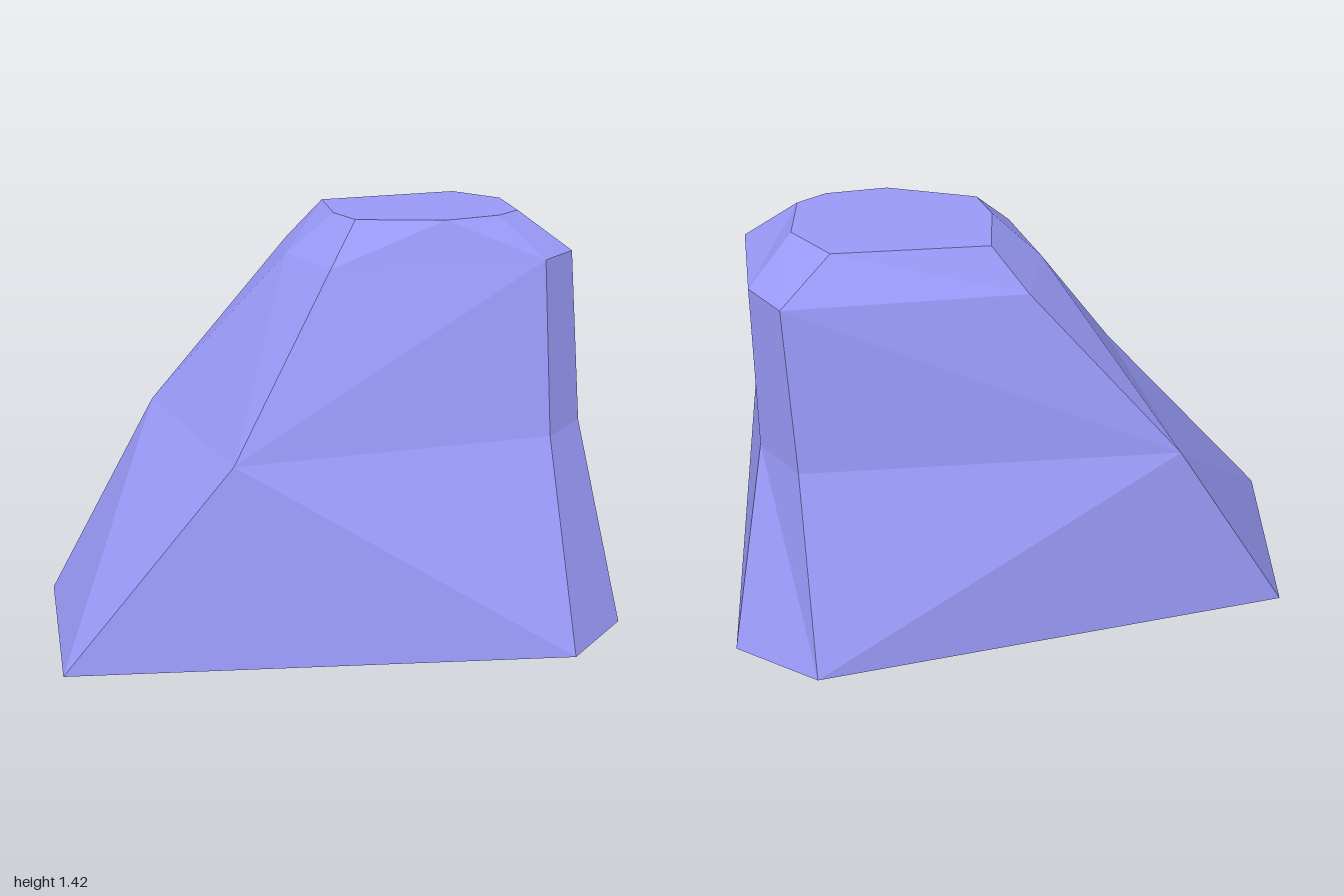
import * as THREE from 'three';

// Rings of [x, z] corners from the ground up, counter-clockwise from front left.
// A repeated corner merges two columns into one.
const rings = [
  { y: 0, pts: [[-1, 0.24], [0.68, 0.655], [0.68, 0.655], [0.945, 0.46], [1, -0.465], [0.73, -0.66], [-0.915, -0.46], [-0.915, -0.46]] },
  { y: 0.69, pts: [[-0.41, 0.28], [0.7, 0.34], [0.7, 0.34], [0.87, 0.215], [0.86, -0.25], [0.74, -0.435], [-0.51, -0.485], [-0.51, -0.485]] },
  { y: 1.28, pts: [[-0.02, 0.11], [0.715, 0.215], [0.715, 0.215], [0.86, 0.12], [0.85, -0.25], [0.755, -0.4], [-0.015, -0.4], [-0.09, -0.16]] },
  { y: 1.42, pts: [[0.1, 0.015], [0.385, 0.12], [0.585, 0.105], [0.68, 0.05], [0.705, -0.155], [0.59, -0.315], [0.095, -0.33], [0.065, -0.11]] },
];

// Facets whose diagonal runs the other way, as "band,column"
const flipped = new Set(['0,5', '1,0', '2,0']);

function rockGeometry() {
  const n = rings[0].pts.length;
  const loops = rings.map(r => r.pts.map(([x, z]) => new THREE.Vector3(x, r.y, z)));
  const positions = [];
  const tri = (a, b, c) => {
    if (a.equals(b) || b.equals(c) || c.equals(a)) return;
    for (const v of [a, b, c]) positions.push(v.x, v.y, v.z);
  };

  // Sloping sides
  for (let k = 0; k < loops.length - 1; k++) {
    for (let i = 0; i < n; i++) {
      const j = (i + 1) % n;
      const a = loops[k][i], b = loops[k][j], c = loops[k + 1][j], d = loops[k + 1][i];
      if (flipped.has(`${k},${i}`)) {
        tri(a, b, c);
        tri(a, c, d);
      } else {
        tri(a, b, d);
        tri(b, c, d);
      }
    }
  }

  // Flat underside and flat top
  const base = loops[0], top = loops[loops.length - 1];
  for (let i = 1; i < n - 1; i++) {
    tri(base[0], base[i + 1], base[i]);
    tri(top[0], top[i], top[i + 1]);
  }

  const geometry = new THREE.BufferGeometry();
  geometry.setAttribute('position', new THREE.Float32BufferAttribute(positions, 3));
  geometry.computeVertexNormals();
  return geometry;
}

export function createModel() {
  const group = new THREE.Group();
  group.name = 'rockFormation';
  const material = new THREE.MeshStandardMaterial({ color: 0x9999f8, flatShading: true });
  const rock = new THREE.Mesh(rockGeometry(), material);
  rock.name = 'rock';
  group.add(rock);
  return group;
}
